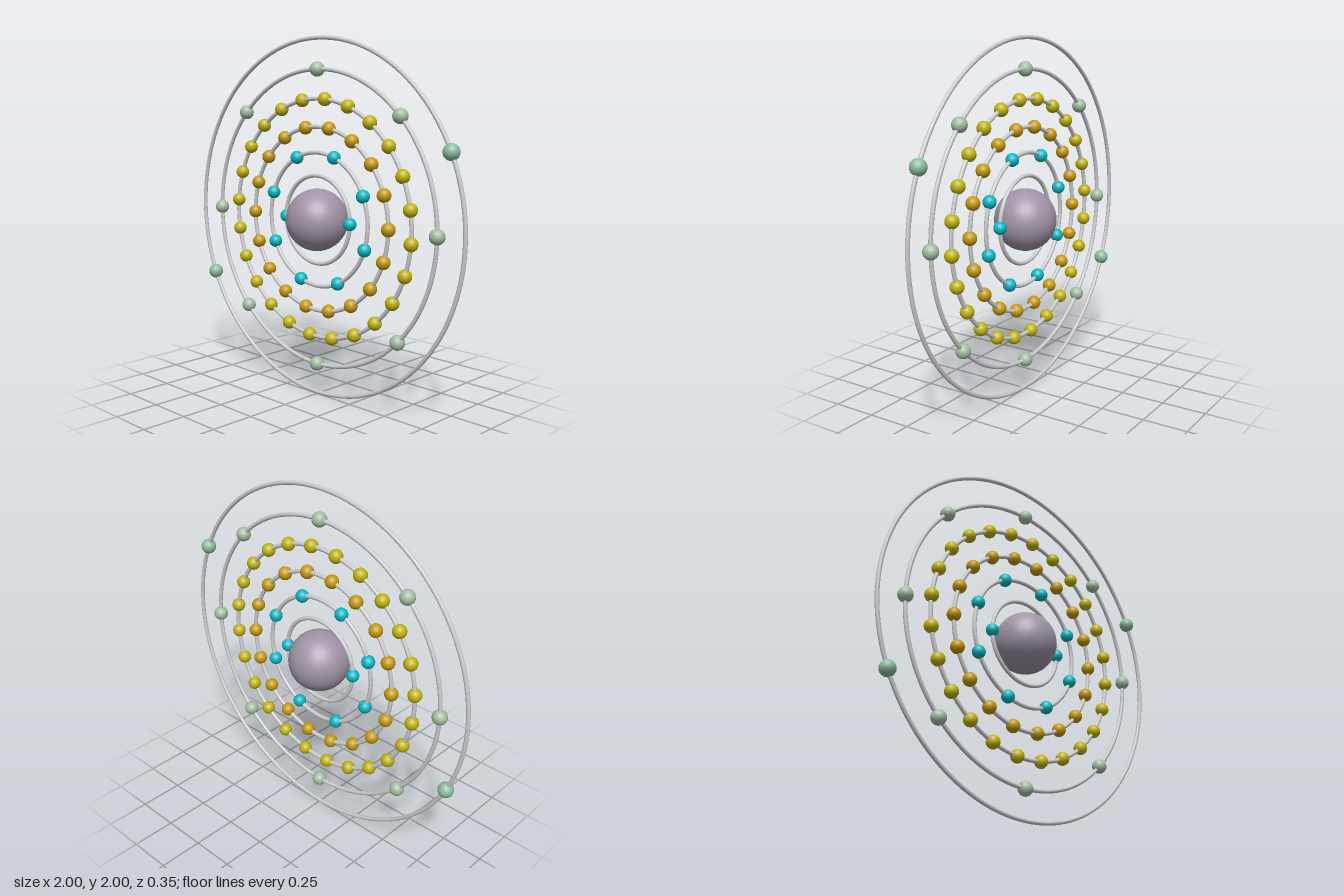
import * as THREE from 'three';

// Orbits from the inside out: ring radius, bead count, bead radius, first bead angle (degrees), bead color
const SHELLS = [
  { radius: 0.245, count: 2, bead: 0.036, phase: 0, color: 0x08b8c4 },
  { radius: 0.372, count: 8, bead: 0.037, phase: 25, color: 0x08b8c4 },
  { radius: 0.512, count: 18, bead: 0.038, phase: 0, color: 0xc49a0c },
  { radius: 0.664, count: 24, bead: 0.038, phase: 10, color: 0xc0b40c },
  { radius: 0.822, count: 8, bead: 0.041, phase: 0, color: 0xa4bfa2 },
  { radius: 0.988, count: 2, bead: 0.043, phase: 25, color: 0x8cbd9e },
];
const TUBE = 0.0115;

function sphere(name, radius, material, segments) {
  const mesh = new THREE.Mesh(new THREE.SphereGeometry(radius, segments, segments / 2), material);
  mesh.name = name;
  return mesh;
}

export function createModel() {
  const model = new THREE.Group();
  model.name = 'atomModel';
  const ringMaterial = new THREE.MeshStandardMaterial({ color: 0xcccccc });

  // Everything is centred on the nucleus, one unit above the ground
  const atom = new THREE.Group();
  atom.name = 'atom';
  atom.position.y = 1;
  model.add(atom);

  // Nucleus
  atom.add(sphere('nucleus', 0.173, new THREE.MeshStandardMaterial({ color: 0xa094a6 }), 48));

  // Orbit rings with evenly spaced electrons
  SHELLS.forEach(({ radius, count, bead, phase, color }, i) => {
    const shell = new THREE.Group();
    shell.name = `shell${i + 1}`;

    const ring = new THREE.Mesh(new THREE.TorusGeometry(radius, TUBE, 12, 128), ringMaterial);
    ring.name = 'orbitRing';
    shell.add(ring);

    const material = new THREE.MeshStandardMaterial({ color });
    for (let k = 0; k < count; k++) {
      const a = THREE.MathUtils.degToRad(phase) + (k / count) * Math.PI * 2;
      const electron = sphere('electron', bead, material, 24);
      electron.position.set(Math.cos(a) * radius, Math.sin(a) * radius, 0);
      shell.add(electron);
    }
    atom.add(shell);
  });

  return model;
}
